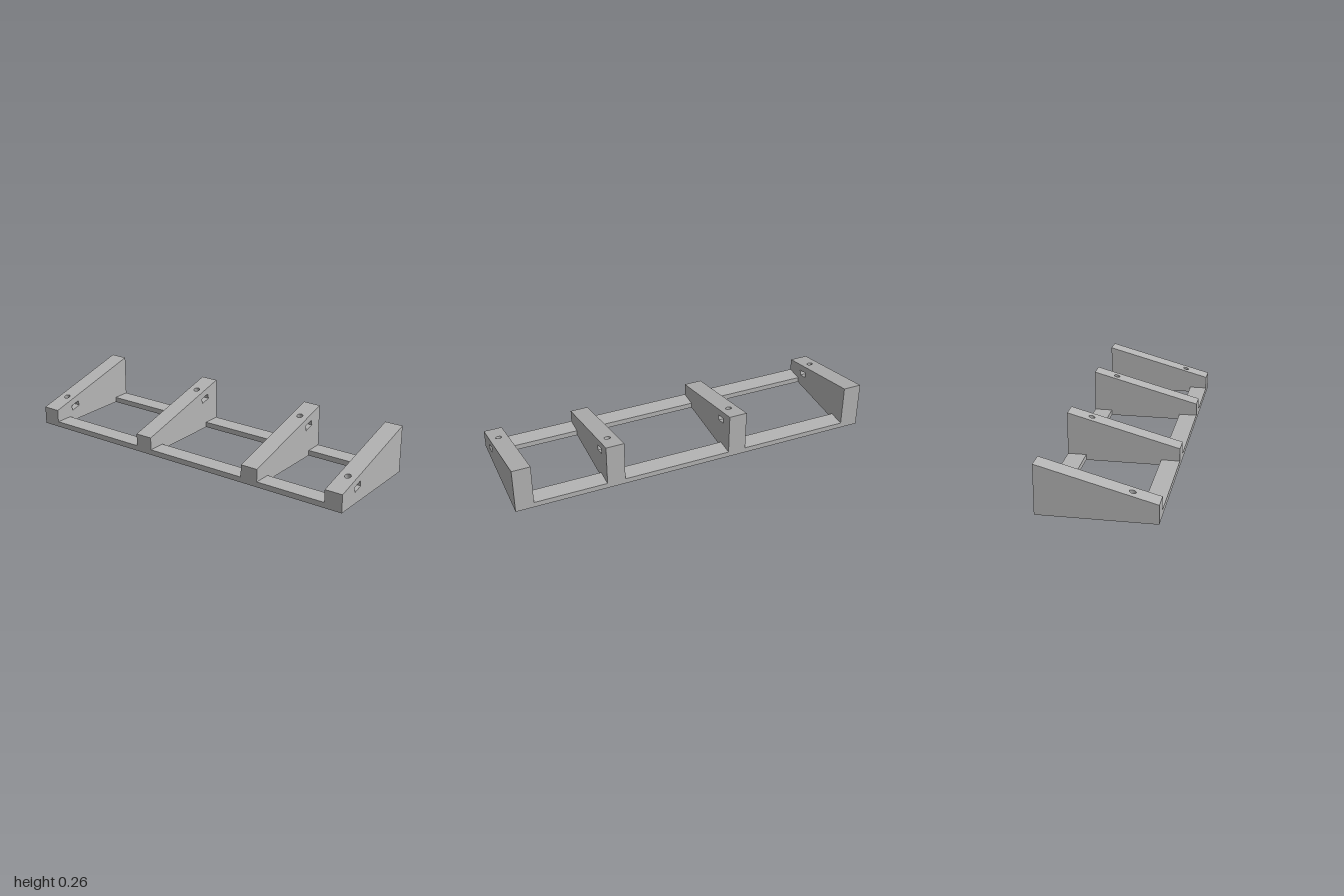
import * as THREE from 'three';

const W = 0.05;                     // half width of a wedge
const D = 0.303;                    // half depth of the frame
const LOW = 0.1, TILT = Math.PI / 12;
const SIN = Math.sin(TILT), COS = Math.cos(TILT), TAN = Math.tan(TILT);
const HIGH = LOW + 2 * D * TAN;
const R = 0.017;                    // bolt hole radius
const SLOT_DEPTH = 0.052, SLOT_T = 0.03, SLOT_H = 0.0293;

export function createModel() {
  const model = new THREE.Group();
  model.name = 'slopedRackBase';
  const grey = new THREE.MeshStandardMaterial({ color: 0xb4b4b4, side: THREE.DoubleSide });
  grey.name = 'plainGrey';

  const add = (parent, name, geometry) => {
    const mesh = new THREE.Mesh(geometry, grey);
    mesh.name = name;
    parent.add(mesh);
    return mesh;
  };
  const polygon = (pts) => new THREE.Shape(pts.map(([a, b]) => new THREE.Vector2(a, b)));
  const face = (pts, hole) => {
    const shape = polygon(pts);
    if (hole) shape.holes.push(hole);
    return new THREE.ShapeGeometry(shape, 12);
  };
  const round = (y, ry = R) => new THREE.Path().absellipse(0, y, R, ry, 0, Math.PI * 2, true);
  const rect = (a0, a1, b0, b1) => [[a0, b0], [a1, b0], [a1, b1], [a0, b1]];

  // Wedge with a tilted bolt hole and a nut slot opening on its +x side
  function makeWedge(name, x, holeZ) {
    const wedge = new THREE.Group();
    wedge.name = name;
    wedge.position.x = x;
    model.add(wedge);
    const holeY = LOW + (D - holeZ) * TAN;

    // Side walls
    const slotCorners = [[-1, -1], [-1, 1], [1, 1], [1, -1]].map(([i, j]) => {
      const ly = -SLOT_DEPTH + i * SLOT_T / 2, lz = j * SLOT_H;
      return [-(holeZ + ly * SIN + lz * COS), holeY + ly * COS - lz * SIN];
    });
    add(wedge, 'slottedSide', face([[-D, 0], [D, 0], [D, HIGH], [-D, LOW]], polygon(slotCorners))
      .rotateY(Math.PI / 2).translate(W, 0, 0));
    add(wedge, 'plainSide', face([[-D, 0], [D, 0], [D, LOW], [-D, HIGH]])
      .rotateY(-Math.PI / 2).translate(-W, 0, 0));

    // Ends and underside
    add(wedge, 'frontEnd', new THREE.PlaneGeometry(2 * W, LOW).translate(0, LOW / 2, D));
    add(wedge, 'backEnd', new THREE.PlaneGeometry(2 * W, HIGH).rotateY(Math.PI).translate(0, HIGH / 2, -D));
    add(wedge, 'underside', face(rect(-W, W, -D, D), round(holeZ - holeY * TAN, R / COS))
      .rotateX(Math.PI / 2));

    // Parts aligned to the slope, with the origin at the hole mouth
    const tilted = new THREE.Group();
    tilted.name = 'tiltedParts';
    tilted.position.set(0, holeY, holeZ);
    tilted.rotation.x = TILT;
    wedge.add(tilted);
    add(tilted, 'slopedTop', face(rect(-W, W, -(D - holeZ) / COS, (D + holeZ) / COS), round(0))
      .rotateX(-Math.PI / 2));

    // Bolt hole lining, the lower length trimmed to the underside
    const top = -SLOT_DEPTH + SLOT_T / 2, bottom = -SLOT_DEPTH - SLOT_T / 2;
    add(tilted, 'upperBore', new THREE.CylinderGeometry(R, R, -top, 24, 1, true).translate(0, top / 2, 0));
    const lower = new THREE.CylinderGeometry(R, R, 1, 24, 1, true);
    const p = lower.attributes.position;
    for (let i = 0; i < p.count; i++) {
      p.setY(i, p.getY(i) > 0 ? bottom : (p.getZ(i) * SIN - holeY) / COS);
    }
    add(tilted, 'lowerBore', lower);

    // Nut slot lining with a pointed inner end
    const r = SLOT_H / Math.cos(Math.PI / 6);
    const outline = [[W, SLOT_H], [-r / 2, SLOT_H], [-r, 0], [-r / 2, -SLOT_H], [W, -SLOT_H]];
    for (const [part, y] of [['slotRoof', top], ['slotFloor', bottom]]) {
      const angle = part === 'slotRoof' ? Math.PI / 2 : -Math.PI / 2;
      add(tilted, part, face(outline, round(0)).rotateX(angle).translate(0, y, 0));
    }
    for (let i = 0; i < outline.length - 1; i++) {
      const [ax, az] = outline[i], [bx, bz] = outline[i + 1];
      add(tilted, 'slotWall', new THREE.PlaneGeometry(Math.hypot(bx - ax, bz - az), SLOT_T)
        .rotateY(Math.atan2(az - bz, bx - ax))
        .translate((ax + bx) / 2, -SLOT_DEPTH, (az + bz) / 2));
    }
  }

  makeWedge('rightOuterWedge', -0.95, 0.168);
  makeWedge('rightInnerWedge', -0.25, -0.18);
  makeWedge('leftInnerWedge', 0.45, -0.18);
  makeWedge('leftOuterWedge', 0.95, 0.168);

  // Flat rails joining the wedges at front and back
  for (const [x0, x1] of [[-0.9, -0.3], [-0.2, 0.4], [0.5, 0.9]]) {
    for (const [name, z] of [['frontRail', D - 0.05], ['backRail', 0.05 - D]]) {
      add(model, name, new THREE.BoxGeometry(x1 - x0, 0.03, 0.1).translate((x0 + x1) / 2, 0.015, z));
    }
  }
  return model;
}
